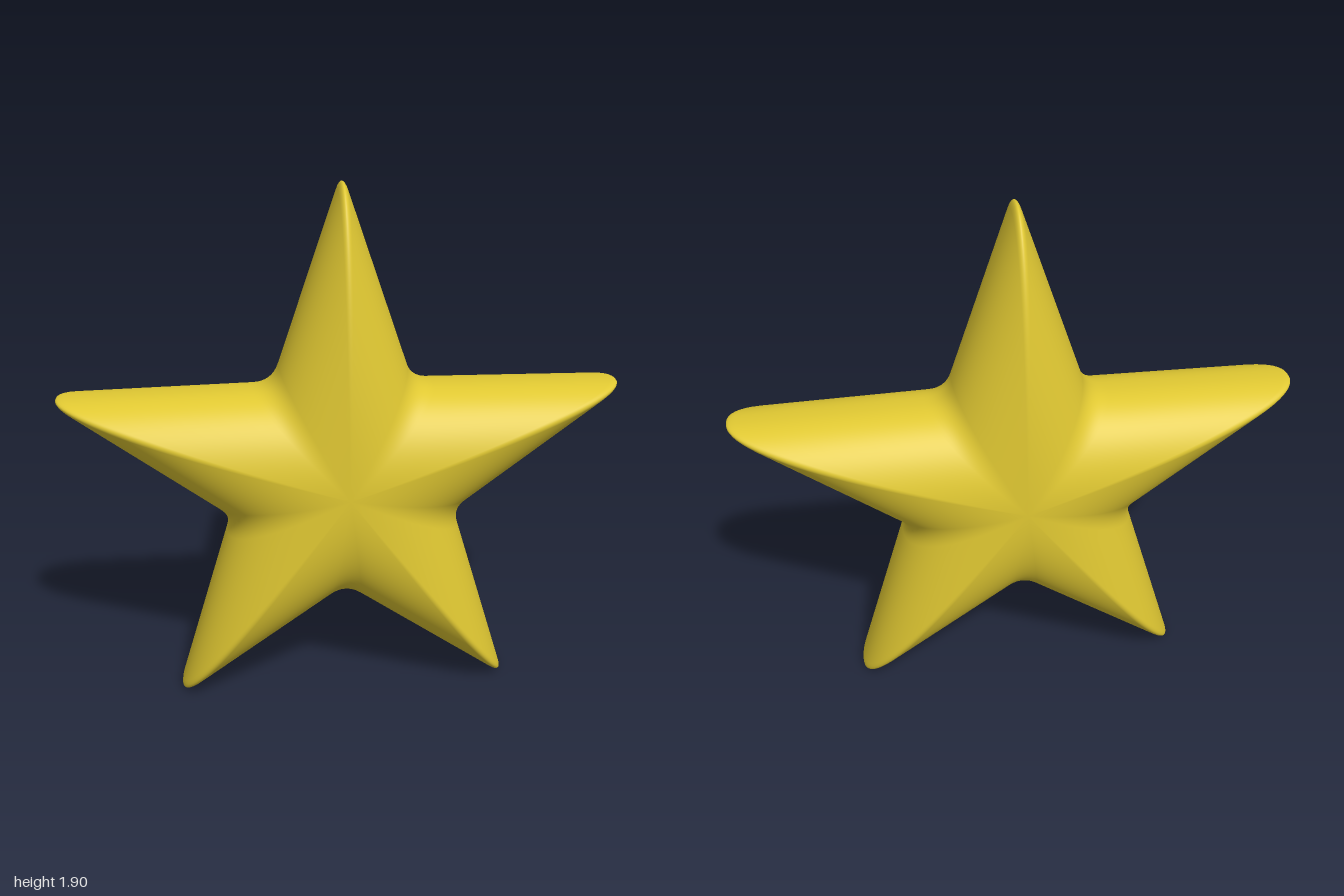
import * as THREE from 'three';

const CENTRE_Y = 0.852, TIP = 1.077, VALLEY = 0.427, DEPTH = 0.262;
const POWER = 2.3; // puffiness of the side profile
const RINGS = 56;

// Five-pointed outline with softly rounded tips and valleys
function starOutline() {
  const corner = (i) => {
    const a = Math.PI / 2 + (i * Math.PI) / 5;
    const r = i % 2 ? VALLEY : TIP;
    return new THREE.Vector2(Math.cos(a) * r, Math.sin(a) * r);
  };
  const toward = (p, q, d) => p.clone().add(q.clone().sub(p).setLength(d));
  const pts = [];
  for (let i = 0; i < 10; i++) {
    const p = corner(i), prev = corner(i + 9), next = corner(i + 1);
    const cut = i % 2 ? 0.075 : 0.053;
    const nextCut = i % 2 ? 0.053 : 0.075;
    const end = toward(p, next, cut);
    const bend = new THREE.QuadraticBezierCurve(toward(p, prev, cut), p, end);
    pts.push(...bend.getPoints(8));
    // straight flank up to the next rounded corner
    const stop = toward(next, p, nextCut);
    for (let k = 1; k < 7; k++) pts.push(end.clone().lerp(stop, k / 7));
  }
  return pts;
}

// Scale the outline along a rounded profile from the front pole to the back pole
function puffyStar() {
  const outline = starOutline(), n = outline.length;
  const pos = [0, 0, DEPTH], index = [];
  for (let j = 1; j < RINGS; j++) {
    const a = (j / RINGS) * Math.PI;
    const c = Math.cos(a);
    const scale = Math.pow(Math.sin(a), 2 / POWER);
    const z = j * 2 === RINGS ? 0 : Math.sign(c) * DEPTH * Math.pow(Math.abs(c), 2 / POWER);
    for (const p of outline) pos.push(p.x * scale, p.y * scale, z);
  }
  pos.push(0, 0, -DEPTH);
  const last = pos.length / 3 - 1;
  const at = (ring, i) => 1 + ring * n + (i % n);
  for (let i = 0; i < n; i++) {
    index.push(0, at(0, i), at(0, i + 1));
    for (let r = 0; r < RINGS - 2; r++) {
      const a = at(r, i), b = at(r, i + 1), c = at(r + 1, i), d = at(r + 1, i + 1);
      index.push(a, c, d, a, d, b);
    }
    index.push(at(RINGS - 2, i), last, at(RINGS - 2, i + 1));
  }
  const geo = new THREE.BufferGeometry();
  geo.setAttribute('position', new THREE.Float32BufferAttribute(pos, 3));
  geo.setIndex(index);
  geo.computeVertexNormals();
  return geo;
}

export function createModel() {
  const group = new THREE.Group();
  group.name = 'star';
  const yellow = new THREE.MeshStandardMaterial({ color: 0xe0c832 });
  yellow.name = 'golden yellow';
  const body = new THREE.Mesh(puffyStar(), yellow);
  body.name = 'starBody';
  body.position.y = CENTRE_Y;
  group.add(body);
  return group;
}
